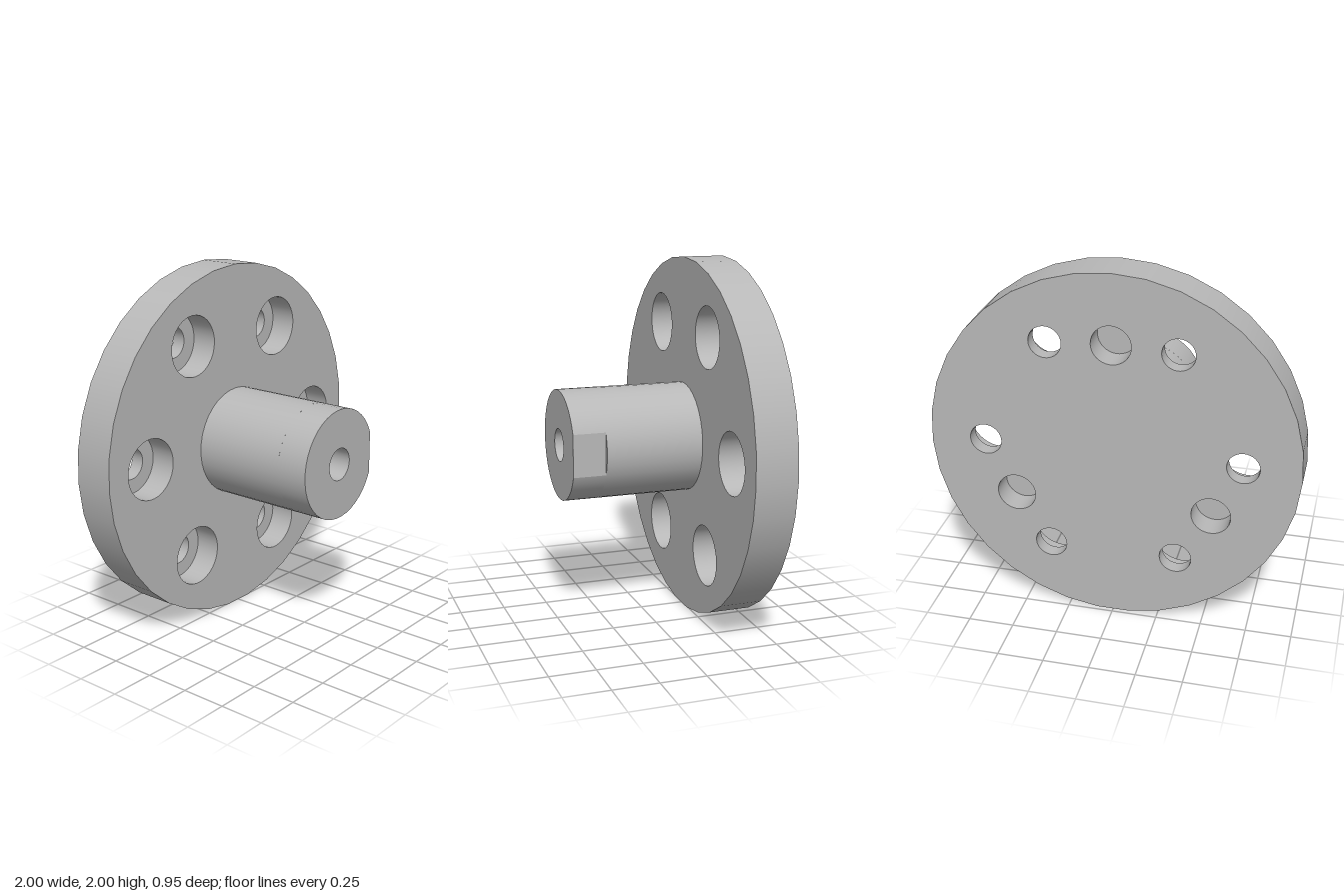
import * as THREE from 'three';

const SIDES = 35;
const BACK = -0.475, FACE = -0.245, STEP = 0.295, TIP = 0.475;
const BOSS_R = 0.305, FLAT_X = 0.282;

// Points of a circle, or of an arc, around (cx, cy)
function ring(cx, cy, r, from = Math.PI / 2, sweep = Math.PI * 2, n = SIDES) {
  const closed = sweep >= Math.PI * 2;
  return Array.from({ length: closed ? n : n + 1 }, (_, i) => {
    const t = from + sweep * i / n;
    return new THREE.Vector2(cx + r * Math.cos(t), cy + r * Math.sin(t));
  });
}

// Flat face at depth z with round holes [x, y, r]
function face(outline, holes, z, backwards = false) {
  const shape = new THREE.Shape(outline);
  for (const [x, y, r] of holes) shape.holes.push(new THREE.Path(ring(x, y, r)));
  const g = new THREE.ShapeGeometry(shape);
  if (backwards) flip(g);
  return g.translate(0, 0, z);
}

// Turn a geometry inside out
function flip(g) {
  const index = g.index.array;
  for (let i = 0; i < index.length; i += 3) {
    [index[i], index[i + 1]] = [index[i + 1], index[i]];
  }
  const normals = g.attributes.normal.array;
  for (let i = 0; i < normals.length; i++) normals[i] *= -1;
  return g;
}

// Smooth round wall along z, turned inward for bores
function wall(x, y, r, z0, z1, inward = false, start = Math.PI, sweep = Math.PI * 2) {
  const g = new THREE.CylinderGeometry(r, r, z1 - z0, SIDES, 1, true, start, sweep);
  g.rotateX(Math.PI / 2).translate(x, y, (z0 + z1) / 2);
  return inward ? flip(g) : g;
}

export function createModel() {
  const model = new THREE.Group();
  model.name = 'flangedHub';
  const steel = new THREE.MeshStandardMaterial({ color: 0xb8b8b8 });
  steel.name = 'grey steel';

  const body = new THREE.Group();
  body.name = 'body';
  body.position.y = 1;
  model.add(body);

  function part(name, ...geometries) {
    const group = new THREE.Group();
    group.name = name;
    for (const g of geometries) {
      const mesh = new THREE.Mesh(g, steel);
      mesh.name = name + 'Surface';
      group.add(mesh);
    }
    body.add(group);
  }

  const polar = (radius, count, offset) => Array.from({ length: count }, (_, i) => {
    const a = offset + i * Math.PI * 2 / count;
    return [radius * Math.cos(a), radius * Math.sin(a)];
  });
  const bolts = polar(0.694, 6, 0);
  const pins = polar(0.617, 3, Math.PI / 2);
  const BOLT_R = 0.087, BORE_R = 0.168, PIN_R = 0.106;
  const boreFloor = FACE - 0.15, pinFloor = BACK + 0.14;

  // Flange disc
  part('flange',
    wall(0, 0, 1, BACK, FACE),
    face(ring(0, 0, 1), [...bolts.map(([x, y]) => [x, y, BORE_R]), [0, 0, BOSS_R]], FACE),
    face(ring(0, 0, 1), [
      ...bolts.map(([x, y]) => [x, y, BOLT_R]),
      ...pins.map(([x, y]) => [x, y, PIN_R]),
    ], BACK, true));

  // Counterbored bolt holes
  for (const [x, y] of bolts) {
    part('boltHole',
      wall(x, y, BORE_R, boreFloor, FACE, true),
      face(ring(x, y, BORE_R), [[x, y, BOLT_R]], boreFloor),
      wall(x, y, BOLT_R, BACK, boreFloor, true));
  }

  // Blind pin holes in the back
  for (const [x, y] of pins) {
    part('pinHole',
      wall(x, y, PIN_R, BACK, pinFloor, true),
      face(ring(x, y, PIN_R), [], pinFloor, true));
  }

  // Shaft with a flat cut on its left side near the tip
  const a = Math.acos(FLAT_X / BOSS_R);
  const sweep = Math.PI * 2 - 2 * a;
  const flat = new THREE.PlaneGeometry(TIP - STEP, 2 * BOSS_R * Math.sin(a));
  flat.rotateY(Math.PI / 2).translate(FLAT_X, 0, (STEP + TIP) / 2);
  part('shaft',
    wall(0, 0, BOSS_R, FACE, STEP),
    wall(0, 0, BOSS_R, STEP, TIP, false, Math.PI / 2 + a, sweep),
    face(ring(0, 0, BOSS_R, a, sweep), [[0, 0, 0.09]], TIP));
  part('shaftFlat', flat, face(ring(0, 0, BOSS_R, -a, 2 * a, 10), [], STEP));

  // Blind centre hole in the shaft tip
  part('centreHole',
    wall(0, 0, 0.09, TIP - 0.3, TIP, true),
    face(ring(0, 0, 0.09), [], TIP - 0.3));

  return model;
}
